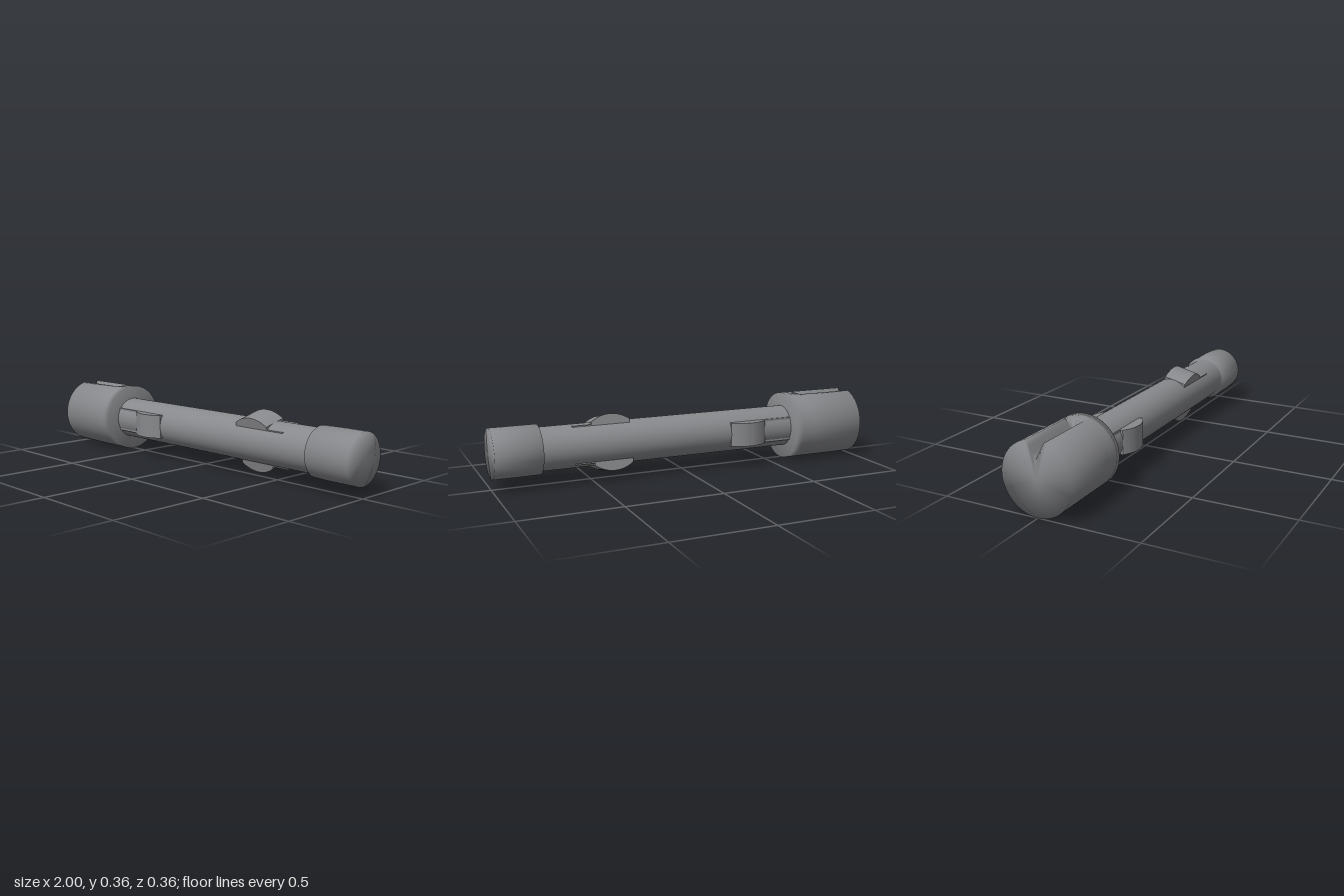
import * as THREE from 'three';
import { toCreasedNormals } from 'three/addons/utils/BufferGeometryUtils.js';

const SIDES = 72;
const AXIS_Y = 0.179;

// Solid along x, lofted through rings; each section is [x, radius, slot kind]
function loft(sections) {
  const pos = [], index = [];
  for (const [x, r, slot] of sections) {
    for (let j = 0; j < SIDES; j++) {
      const deg = (j * 360) / SIDES;
      const signed = deg > 180 ? deg - 360 : deg;
      const a = THREE.MathUtils.degToRad(deg);
      let y = r * Math.cos(a), z = r * Math.sin(a);
      if (slot && Math.abs(signed) < 15) {
        const edge = THREE.MathUtils.degToRad(15), t = signed / 15;
        z = r * Math.sin(edge) * t;
        y = r * Math.cos(edge);
        if (slot === 'vee') y -= 0.085 * (1 - Math.abs(t));
      }
      pos.push(x, y, z);
    }
  }
  const last = sections.length - 1;
  const startCentre = pos.length / 3;
  pos.push(sections[0][0], 0, 0, sections[last][0], 0, 0);
  for (let j = 0; j < SIDES; j++) {
    const k = (j + 1) % SIDES;
    for (let i = 0; i < last; i++) {
      const a = i * SIDES + j, b = i * SIDES + k;
      index.push(a, b, a + SIDES, b, b + SIDES, a + SIDES);
    }
    index.push(startCentre, k, j);
    index.push(startCentre + 1, last * SIDES + j, last * SIDES + k);
  }
  const geo = new THREE.BufferGeometry();
  geo.setAttribute('position', new THREE.Float32BufferAttribute(pos, 3));
  geo.setIndex(index);
  geo.computeVertexNormals();
  return geo;
}

// Rounded catch with a flat tongue running towards one end of the rod
function catchGeometry(dir, tongue) {
  const R = 0.164, half = 0.1, width = 0.124, steps = 20;
  const shape = new THREE.Shape();
  shape.moveTo(-half * dir, 0.04);
  for (let i = 0; i <= steps; i++) {
    const x = -half + (2 * half * i) / steps;
    shape.lineTo(x * dir, 0.142 - R + Math.sqrt(R * R - x * x));
  }
  shape.lineTo(half * dir, 0.096);
  shape.lineTo(tongue * dir, 0.096);
  shape.lineTo(tongue * dir, 0.04);
  const geo = new THREE.ExtrudeGeometry(shape, { depth: width, bevelEnabled: false });
  geo.translate(0, 0, -width / 2);
  return toCreasedNormals(geo, 0.6);
}

export function createModel() {
  const model = new THREE.Group();
  model.name = 'slottedPin';
  const steel = new THREE.MeshStandardMaterial({ color: 0x88898c });
  steel.name = 'grey steel';

  const add = (name, geo) => {
    const mesh = new THREE.Mesh(geo, steel);
    mesh.name = name;
    mesh.position.y = AXIS_Y;
    model.add(mesh);
    return mesh;
  };

  // Head with an open groove along its top
  add('head', loft([
    [-1, 0.179, 'vee'], [-0.69, 0.179, 'vee'],
    [-0.69, 0.179, 'flat'], [-0.64, 0.179, 'flat'],
    [-0.64, 0.179], [-0.6, 0.179],
  ]));

  // Shaft and end cap
  add('shaft', loft([[-0.62, 0.109], [0.78, 0.109]]));
  add('endCap', loft([[0.765, 0.125], [1, 0.125]]));

  // Two opposed pairs of catches, the far pair turned slightly
  const pairs = [
    { name: 'headCatch', x: -0.34, dir: -1, tongue: 0.27, angle: 90 },
    { name: 'capCatch', x: 0.4, dir: 1, tongue: 0.2, angle: 14 },
  ];
  for (const p of pairs) {
    const geo = catchGeometry(p.dir, p.tongue);
    for (const turn of [0, 180]) {
      const mesh = add(p.name + (turn ? 'B' : 'A'), geo);
      mesh.position.x = p.x;
      mesh.rotation.x = THREE.MathUtils.degToRad(p.angle + turn);
    }
  }
  return model;
}
